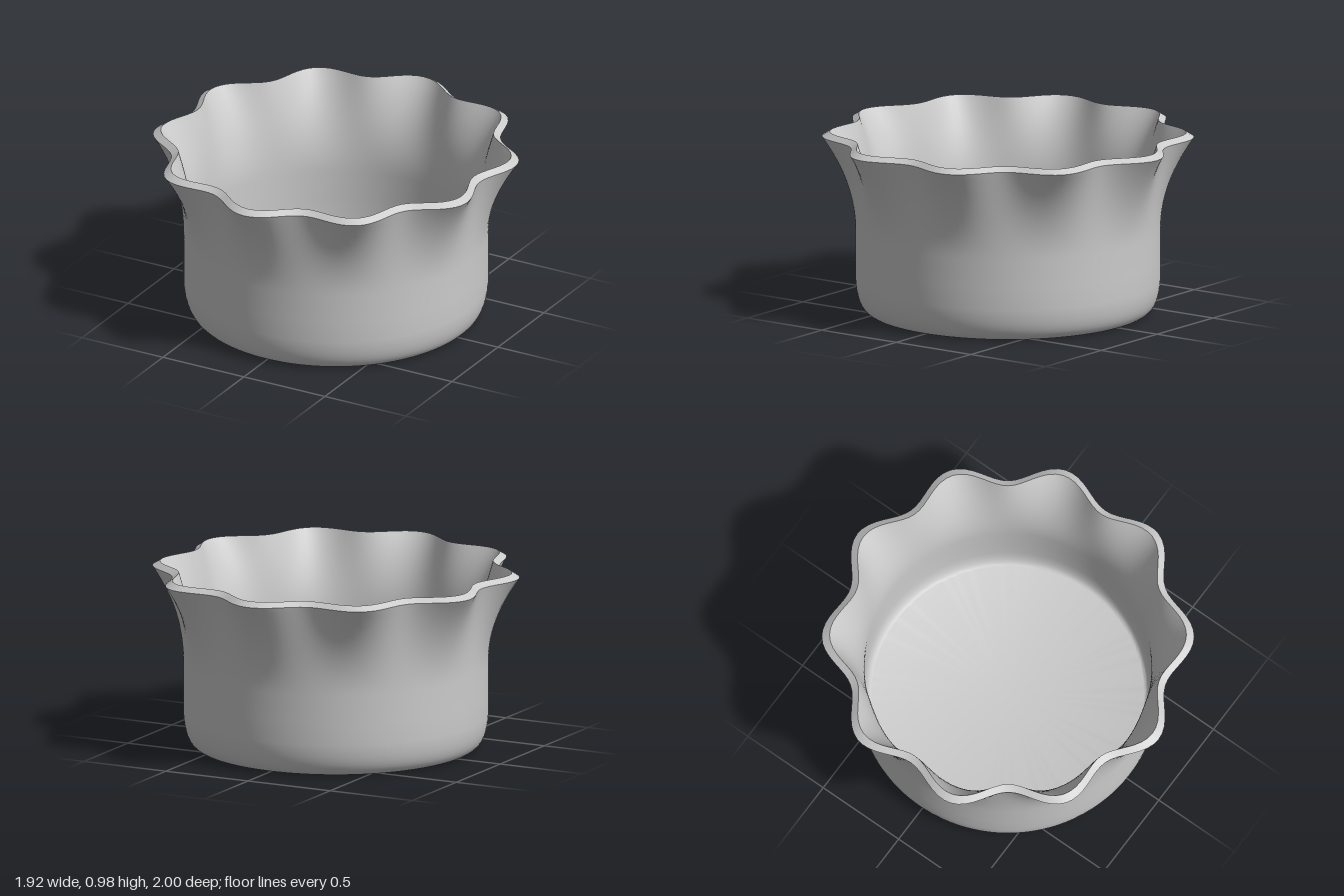
import * as THREE from 'three';
import { toCreasedNormals } from 'three/addons/utils/BufferGeometryUtils.js';

const LOBES = 10;
const RIM_Y = 0.955;
const FLARE_Y = 0.45;

// 0 where the wall is straight, 1 at the rim
const flare = (y) => Math.max(0, (y - FLARE_Y) / (RIM_Y - FLARE_Y)) ** 2;

// Closed section of the bowl: [mean radius, height, wave amplitude]
function bowlSection() {
  const section = [[0, 0, 0]];
  const add = (r, y, amp = 0) => section.push([r, y, amp]);
  const addCurve = (a, b, c, n) => {
    const curve = new THREE.QuadraticBezierCurve(
      new THREE.Vector2(...a), new THREE.Vector2(...b), new THREE.Vector2(...c));
    curve.getPoints(n).forEach((p) => add(p.x, p.y));
  };

  // underside and its rounded edge
  addCurve([0.73, 0], [0.81, 0.005], [0.82, 0.18], 10);
  // outer wall, flaring into the scalloped rim
  const steps = 16;
  const heights = [0.3];
  for (let i = 0; i <= steps; i++) heights.push(FLARE_Y + (RIM_Y - FLARE_Y) * i / steps);
  for (const y of heights) {
    const f = flare(y);
    add(0.82 + 0.125 * f, y, 0.055 * f);
  }
  // inner wall back down, offset by the wall thickness
  for (const y of heights.reverse()) {
    const f = flare(y);
    add(0.77 + 0.135 * f, y + 0.025 * f, 0.053 * f);
  }
  // inner fillet and floor
  addCurve([0.77, 0.16], [0.765, 0.055], [0.73, 0.05], 8);
  add(0, 0.05);
  return section;
}

export function createModel() {
  const group = new THREE.Group();
  group.name = 'scallopedBowl';

  const section = bowlSection();
  const geometry = new THREE.LatheGeometry(
    section.map(([r, y]) => new THREE.Vector2(r, y)), 160);

  // push the flared wall in and out to form the lobes
  const pos = geometry.attributes.position;
  for (let i = 0; i < pos.count; i++) {
    const amp = section[i % section.length][2];
    if (amp === 0) continue;
    const x = pos.getX(i), z = pos.getZ(i);
    const r = Math.hypot(x, z);
    const k = 1 + amp * Math.cos(LOBES * Math.atan2(x, z)) / r;
    pos.setX(i, x * k);
    pos.setZ(i, z * k);
  }

  const bowl = new THREE.Mesh(
    toCreasedNormals(geometry, 0.6),
    new THREE.MeshStandardMaterial({ color: 0xcccccc }));
  bowl.name = 'bowl';
  group.add(bowl);
  return group;
}
